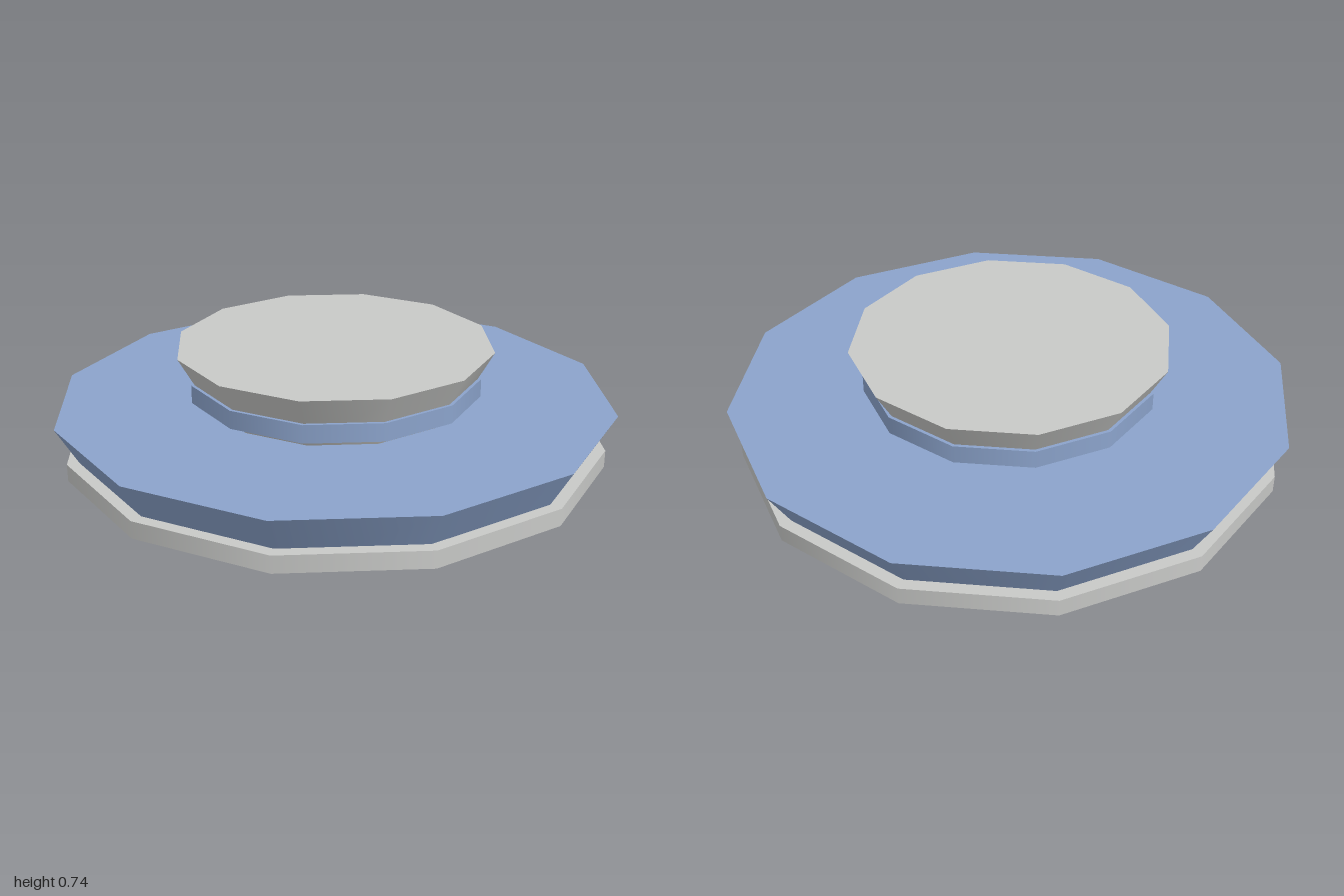
import * as THREE from 'three';

export function createModel() {
  const model = new THREE.Group();
  const blue = new THREE.MeshStandardMaterial({ name: 'blue', color: 0x8ba3cb });
  const grey = new THREE.MeshStandardMaterial({ name: 'lightGrey', color: 0xc8c9c7 });

  // Twelve-sided stacked disc, smooth around the side with sharp rims
  function disc(name, material, y0, r0, y1, r1) {
    const mesh = new THREE.Mesh(new THREE.CylinderGeometry(r1, r0, y1 - y0, 12), material);
    mesh.name = name;
    mesh.position.y = (y0 + y1) / 2;
    model.add(mesh);
  }

  // Lower hull: tapered belly, flared dish and the belt around it
  disc('belly', blue, 0, 0.333, 0.302, 0.867);
  disc('dish', blue, 0.302, 0.867, 0.533, 1);
  disc('dishBelt', grey, 0.338, 0.967, 0.4, 0.967);

  // Upper deck: flared cap with its own belt
  disc('cap', grey, 0.533, 0.453, 0.735, 0.566);
  disc('capBelt', blue, 0.57, 0.522, 0.635, 0.522);

  return model;
}
